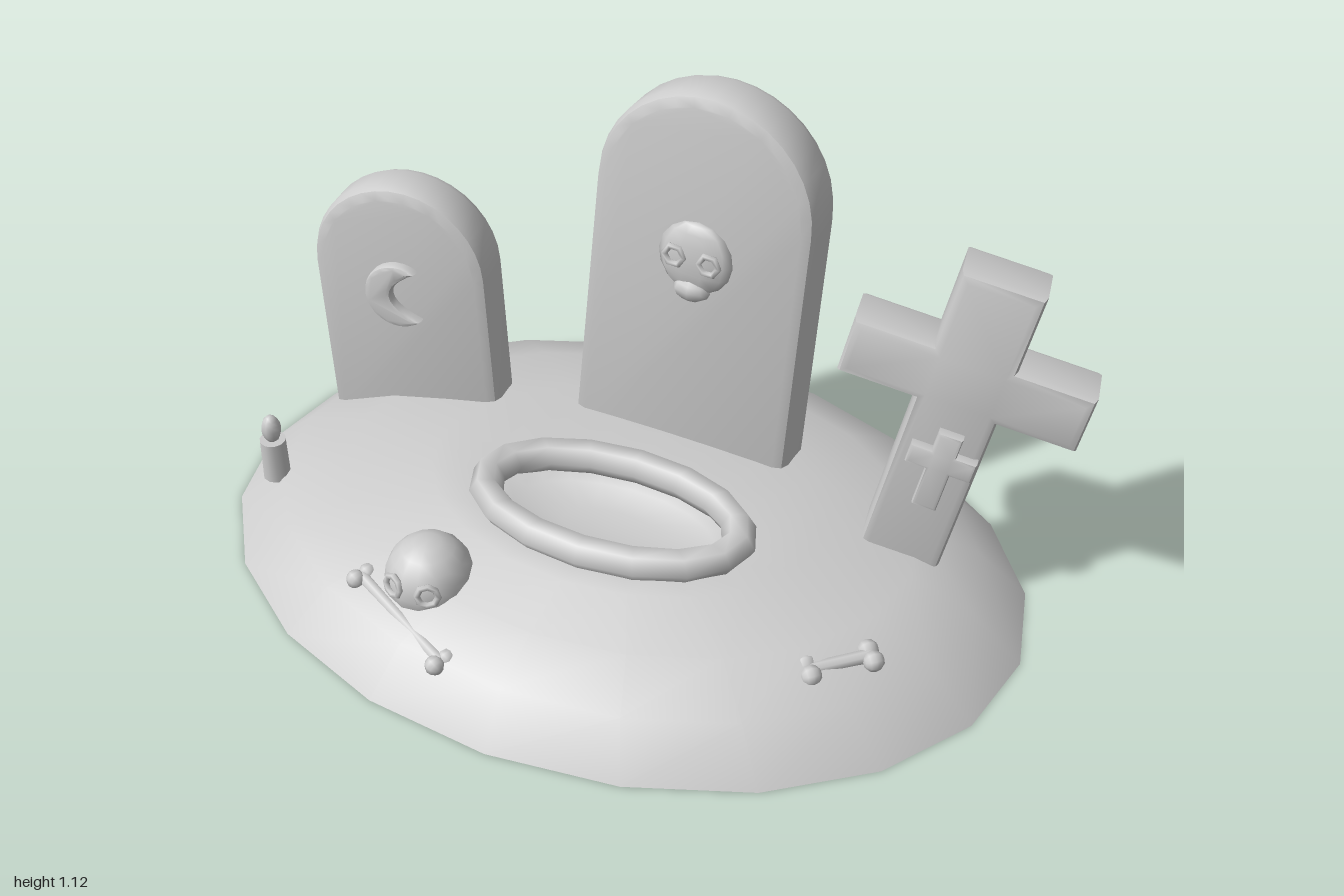
import * as THREE from 'three';
import { toCreasedNormals, mergeVertices } from 'three/addons/utils/BufferGeometryUtils.js';

const material = new THREE.MeshStandardMaterial({ color: 0xcccccc });
const shellMaterial = new THREE.MeshStandardMaterial({ color: 0xcccccc, side: THREE.DoubleSide });

function add(parent, name, geometry, x = 0, y = 0, z = 0, mat = material) {
  const mesh = new THREE.Mesh(geometry, mat);
  mesh.name = name;
  mesh.position.set(x, y, z);
  parent.add(mesh);
  return mesh;
}

function group(parent, name, position, rotation = [0, 0, 0]) {
  const g = new THREE.Group();
  g.name = name;
  g.position.set(...position);
  g.rotation.set(...rotation);
  parent.add(g);
  return g;
}

// Bevelled slab whose full thickness is centred on z = 0
function slab(shape, thickness, bevel, curveSegments = 9) {
  const geo = new THREE.ExtrudeGeometry(shape, {
    depth: thickness - 2 * bevel, bevelEnabled: true, bevelThickness: bevel,
    bevelSize: bevel, bevelOffset: -bevel, bevelSegments: 2, curveSegments,
  });
  geo.translate(0, 0, bevel - thickness / 2);
  return toCreasedNormals(geo, 0.7);
}

// Round-topped headstone outline standing on y = 0
function archShape(bottomWidth, topWidth, height) {
  const r = topWidth / 2;
  const s = new THREE.Shape();
  s.moveTo(-bottomWidth / 2, 0);
  s.lineTo(bottomWidth / 2, 0);
  s.lineTo(r, height - r);
  s.absarc(0, height - r, r, 0, Math.PI, false);
  s.closePath();
  return s;
}

// Latin cross outline: post half-width a, arm half-length b, arm from y0 to y1
function crossShape(a, b, y0, y1, height) {
  const right = [[a, 0], [a, y0], [b, y0], [b, y1], [a, y1], [a, height]];
  const left = right.map(([x, y]) => [-x, y]).reverse();
  return new THREE.Shape([...right, ...left].map(([x, y]) => new THREE.Vector2(x, y)));
}

// Earth mound lofted through ellipses, dipping into the shallow pit
function moundGeometry() {
  const n = 20;
  // centre x, centre z, radius x, radius z, height
  const rings = [
    [-0.02, 0, 0.98, 0.725, 0],
    [-0.02, 0, 0.86, 0.635, 0.11],
    [-0.01, 0, 0.7, 0.51, 0.17],
    [0, 0.02, 0.48, 0.35, 0.21],
    [0.02, 0.15, 0.31, 0.17, 0.235],
    [0.02, 0.15, 0.25, 0.13, 0.2],
    [0.02, 0.15, 0.12, 0.06, 0.185],
  ];
  const pos = [], idx = [];
  for (const [cx, cz, rx, rz, y] of rings) {
    for (let i = 0; i < n; i++) {
      const a = (i / n) * Math.PI * 2;
      pos.push(cx + rx * Math.cos(a), y, cz + rz * Math.sin(a));
    }
  }
  for (let r = 0; r < rings.length - 1; r++) {
    for (let i = 0; i < n; i++) {
      const a = r * n + i, b = r * n + ((i + 1) % n);
      idx.push(a, a + n, b, b, a + n, b + n);
    }
  }
  const last = (rings.length - 1) * n;
  const centre = pos.length / 3;
  pos.push(0.02, 0.182, 0.15);
  for (let i = 0; i < n; i++) idx.push(last + i, centre, last + ((i + 1) % n));
  const geo = new THREE.BufferGeometry();
  geo.setAttribute('position', new THREE.Float32BufferAttribute(pos, 3));
  geo.setIndex(idx);
  geo.computeVertexNormals();
  return geo;
}

// Shaft with a pair of knuckles at each end
function bone(parent, name, from, to, radius) {
  const a = new THREE.Vector3(...from), b = new THREE.Vector3(...to);
  const g = group(parent, name, a.clone().add(b).multiplyScalar(0.5).toArray());
  const dir = b.clone().sub(a);
  const length = dir.length();
  g.quaternion.setFromUnitVectors(new THREE.Vector3(0, 1, 0), dir.normalize());
  add(g, 'boneShaft', new THREE.CylinderGeometry(radius, radius, length, 8));
  const side = new THREE.Vector3(-dir.z, 0, dir.x).normalize()
    .applyQuaternion(g.quaternion.clone().invert()).multiplyScalar(radius * 1.1);
  for (const end of [-1, 1]) {
    for (const s of [-1, 1]) {
      add(g, 'boneKnuckle', new THREE.SphereGeometry(radius * 1.5, 8, 6),
        side.x * s, (end * length) / 2, side.z * s);
    }
  }
}

export function createModel() {
  const model = new THREE.Group();
  model.name = 'graveyard';

  add(model, 'mound', moundGeometry(), 0, 0, 0, shellMaterial);

  // Kerb around the pit
  const kerb = new THREE.TorusGeometry(0.31, 0.04, 6, 16);
  kerb.rotateX(Math.PI / 2);
  const kp = kerb.attributes.position;
  for (let i = 0; i < kp.count; i++) {
    const x = kp.getX(i), z = kp.getZ(i), r = Math.hypot(x, z);
    kp.setZ(i, (z / r) * (r - 0.15));
  }
  kerb.deleteAttribute('uv');
  kerb.deleteAttribute('normal');
  const kerbGeo = mergeVertices(kerb);
  kerbGeo.computeVertexNormals();
  add(model, 'pitKerb', kerbGeo, 0.02, 0.25, 0.15);

  // Tall headstone with a carved skull
  const tall = group(model, 'tallHeadstone', [0.04, 0.12, -0.245], [-0.07, -0.05, -0.05]);
  add(tall, 'tallSlab', slab(archShape(0.56, 0.54, 1.0), 0.14, 0.03));
  const relief = group(tall, 'skullRelief', [0, 0.59, 0.07]);
  add(relief, 'reliefCranium', new THREE.SphereGeometry(0.092, 10, 8), 0, 0.01, 0).scale.z = 0.3;
  add(relief, 'reliefJaw', new THREE.SphereGeometry(0.047, 8, 6), 0, -0.07, 0.005).scale.set(1, 0.65, 0.6);
  for (const s of [-1, 1]) {
    add(relief, 'reliefEye', new THREE.TorusGeometry(0.024, 0.008, 6, 6), s * 0.043, 0.015, 0.025);
  }

  // Small headstone with a carved crescent
  const small = group(model, 'smallHeadstone', [-0.635, 0.08, -0.165], [-0.05, 0.1, 0.07]);
  add(small, 'smallSlab', slab(archShape(0.45, 0.45, 0.68), 0.13, 0.03));
  const moon = new THREE.Shape();
  moon.absarc(0, 0, 0.085, 0.9, Math.PI * 2 - 0.9, false);
  moon.quadraticCurveTo(-0.09, 0, 0.085 * Math.cos(0.9), 0.085 * Math.sin(0.9));
  add(small, 'crescentRelief', slab(moon, 0.05, 0.01, 10), 0, 0.4, 0.065);

  // Leaning stone cross with a smaller cross in relief
  const cross = group(model, 'stoneCross', [0.63, 0.15, -0.12], [-0.1, 0.15, -0.19]);
  add(cross, 'crossBody', slab(crossShape(0.093, 0.27, 0.42, 0.56, 0.75), 0.14, 0.02));
  add(cross, 'crossRelief', slab(crossShape(0.028, 0.075, 0.1, 0.15, 0.2), 0.05, 0.008), 0.01, 0.175, 0.07);

  // Skull resting on the mound
  const skull = group(model, 'skull', [-0.3, 0.165, 0.43]);
  add(skull, 'cranium', new THREE.SphereGeometry(0.102, 14, 10));
  for (const s of [-1, 1]) {
    add(skull, 'eyeSocket', new THREE.TorusGeometry(0.024, 0.008, 6, 8), s * 0.043, 0.025, 0.088)
      .rotation.set(-0.2, s * 0.4, 0);
  }
  for (let i = 0; i < 4; i++) {
    add(skull, 'tooth', new THREE.BoxGeometry(0.018, 0.03, 0.018), -0.036 + i * 0.024, -0.045, 0.09);
  }

  // Loose bones
  bone(model, 'longBone', [-0.455, 0.135, 0.47], [-0.18, 0.105, 0.61], 0.015);
  bone(model, 'shortBone', [0.57, 0.14, 0.34], [0.68, 0.145, 0.25], 0.016);

  // Buried arm with fingertips breaking through the pit floor
  const arm = group(model, 'buriedArm', [0.24, 0, 0.205]);
  add(arm, 'forearm', new THREE.CylinderGeometry(0.026, 0.026, 0.15, 8), 0, 0.095, 0);
  add(arm, 'palm', new THREE.SphereGeometry(0.038, 10, 8), 0, 0.155, 0);
  for (let i = 0; i < 4; i++) {
    add(arm, 'finger', new THREE.CapsuleGeometry(0.012, 0.04, 3, 6), -0.045 + i * 0.032, 0.18, 0);
  }

  // Candle
  const candle = group(model, 'candle', [-0.845, 0, 0.21]);
  add(candle, 'candleWax', new THREE.CylinderGeometry(0.032, 0.034, 0.11, 10), 0, 0.155, 0);
  add(candle, 'candleFlame', new THREE.SphereGeometry(0.024, 8, 8), 0, 0.242, 0).scale.y = 1.6;

  return model;
}
